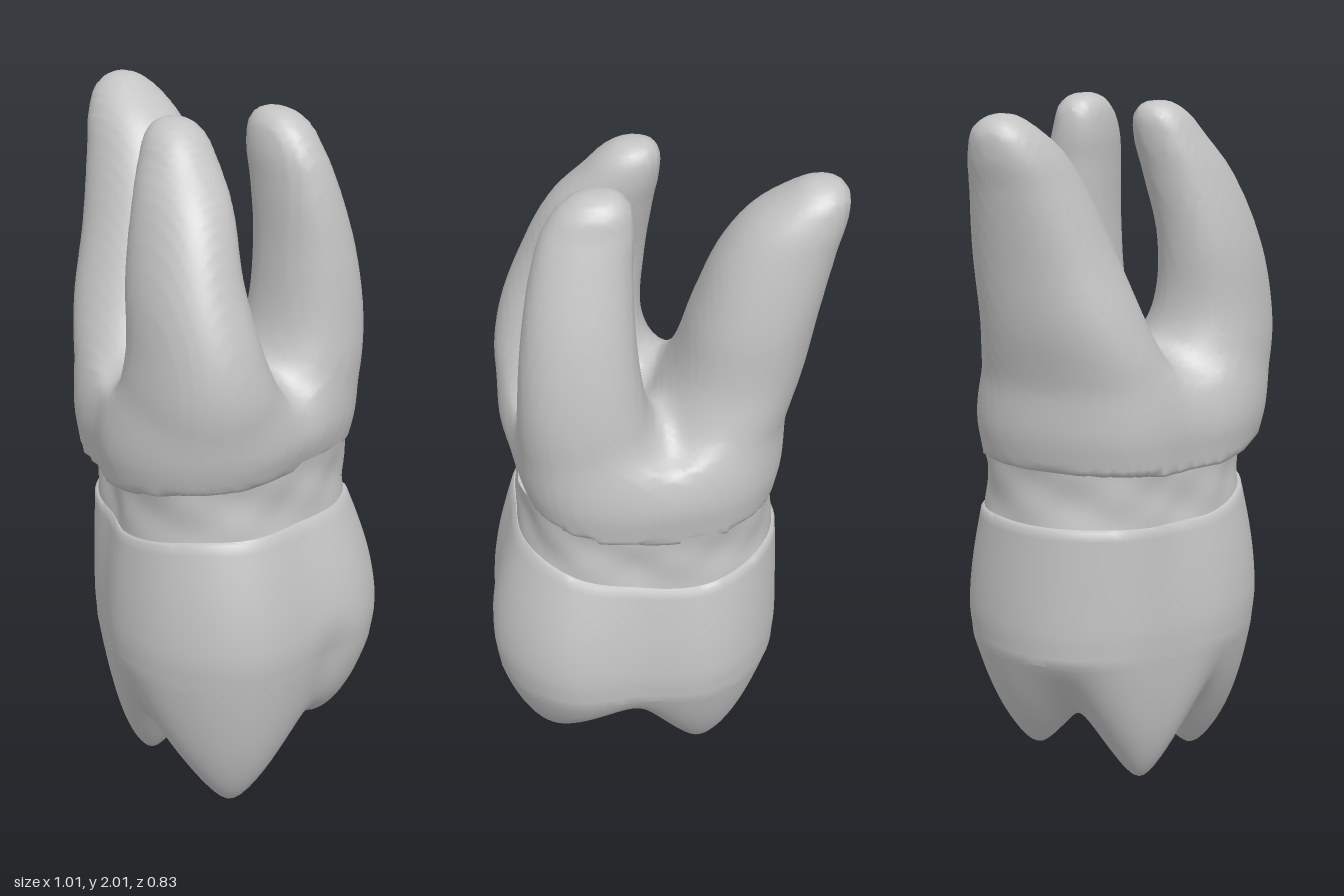
import * as THREE from 'three';
import { toCreasedNormals } from 'three/addons/utils/BufferGeometryUtils.js';

const CX = 0.07; // x of the tooth's vertical axis
const { smoothstep, lerp } = THREE.MathUtils;

// Smooth curve through rows of [t, value, value...]
function spline(rows) {
  const n = rows[0].length - 1;
  const curve = new THREE.CubicInterpolant(rows.map(r => r[0]), rows.flatMap(r => r.slice(1)), n, new Float32Array(n));
  return t => curve.evaluate(t);
}

// Closed outline given by radii every 30 degrees, from +x towards +z
function outline(radii) {
  const rows = [];
  for (let i = -2; i <= 14; i++) rows.push([i * Math.PI / 6, radii[(i + 12) % 12]]);
  const f = spline(rows);
  return a => f(a < 0 ? a + Math.PI * 2 : a)[0];
}
const crownOutline = outline([0.43, 0.465, 0.425, 0.37, 0.33, 0.375, 0.415, 0.43, 0.43, 0.39, 0.47, 0.475]);
const neckOutline = outline([0.36, 0.40, 0.38, 0.335, 0.31, 0.37, 0.41, 0.41, 0.39, 0.35, 0.39, 0.38]);
const rootOutline = outline([0.385, 0.43, 0.44, 0.405, 0.36, 0.405, 0.415, 0.42, 0.395, 0.38, 0.395, 0.37]);

// Wavy gum line: higher towards +x, slightly raised at -x
const gumWave = x => 0.06 * smoothstep(x, 0, 0.42) + 0.015 * smoothstep(-x, 0.1, 0.34);

// Skin over rings listed from top to bottom; point(ring, angle) gives [x, y, z]
function loft(rings, segs, point) {
  const pos = [], idx = [];
  rings.forEach((ring, r) => {
    for (let s = 0; s < segs; s++) {
      pos.push(...point(ring, s / segs * Math.PI * 2));
      if (r === rings.length - 1) continue;
      const a = r * segs + s, b = r * segs + (s + 1) % segs;
      idx.push(a, b, a + segs, b, b + segs, a + segs);
    }
  });
  const g = new THREE.BufferGeometry();
  g.setAttribute('position', new THREE.Float32BufferAttribute(pos, 3));
  g.setIndex(idx);
  return toCreasedNormals(g, 0.9);
}

// Chewing surface: four cusps [x, z, tip y, slope] joined by soft valleys
const CUSPS = [[0.31, 0.15, -0.015, 1.3], [-0.05, 0.145, 0.005, 1.6], [-0.11, -0.16, 0.085, 1.3], [0.31, -0.17, 0.17, 0.85]];
function chewingHeight(x, z) {
  let sum = Math.exp(-28 * 0.36);
  for (const [cx, cz, y, slope] of CUSPS) {
    const d = Math.hypot(x - cx, z - cz, 0.04) - 0.04;
    sum += Math.exp(-28 * (y + slope * d));
  }
  return -Math.log(sum) / 28;
}

function crownGeometry() {
  const rimY = 0.42, rings = [];
  rings.push({ cap: 0.002 }, { cap: 0.5 }, { cap: 0.98 });
  for (let i = 0; i <= 16; i++) rings.push({ down: i / 16 });
  for (let i = 1; i <= 40; i++) rings.push({ chew: Math.cos(i / 40 * Math.PI / 2) + 0.001 });
  return loft(rings, 96, (ring, a) => {
    // shallow groove on the +x side near the chewing edge
    const off = Math.atan2(Math.sin(a + 0.2), Math.cos(a + 0.2));
    const depth = ring.chew ? ring.chew ** 4 : smoothstep(ring.down ?? 0, 0.6, 1);
    const groove = 1 - 0.05 * depth * Math.exp(-((off / 0.16) ** 2));
    // sides swell from the neck, then turn in a little at the rim
    const bulge = ring.cap ? 0 : Math.sin((ring.down ?? 1) * Math.PI * 0.62);
    const rim = ring.cap || ring.chew ? 1 : 1 - 0.015 * smoothstep(ring.down, 0.75, 1);
    const r = lerp(neckOutline(a), crownOutline(a), bulge) * rim * (ring.cap ?? 1) * (ring.chew ? ring.chew * 0.985 : 1);
    const x = CX + r * groove * Math.cos(a), z = r * groove * Math.sin(a);
    const top = 0.818 + gumWave(x);
    if (ring.chew) return [x, lerp(chewingHeight(x, z), rimY, Math.min(ring.chew, 1) ** 11), z];
    return [x, ring.cap ? top : lerp(top - 0.008, rimY, ring.down), z];
  });
}

function neckGeometry() {
  const rings = [];
  for (let i = 0; i <= 8; i++) rings.push(i / 8);
  return loft(rings, 72, (t, a) => {
    const ripple = 0.005 * Math.sin(7 * a + 4 * t) + 0.003 * Math.sin(11 * a - 5 * t);
    const r = neckOutline(a) * (0.975 - 0.02 * Math.sin(Math.PI * t)) + ripple * Math.sin(Math.PI * t);
    const x = CX + r * Math.cos(a);
    return [x, 1.0 - 0.19 * t + gumWave(x), r * Math.sin(a)];
  });
}

// Roots as rows of [y, centre x, centre z, radius x, radius z]
const ROOTS = [
  [[1.0, -0.12, 0, 0.19, 0.27], [1.25, -0.165, -0.005, 0.2, 0.275], [1.4, -0.22, -0.015, 0.185, 0.24],
    [1.6, -0.265, -0.05, 0.174, 0.2], [1.8, -0.325, -0.072, 0.155, 0.152], [1.9, -0.375, -0.082, 0.128, 0.12],
    [1.97, -0.42, -0.09, 0.075, 0.075], [2.0, -0.425, -0.09, 0.035, 0.03]],
  [[1.0, 0.19, 0.17, 0.2, 0.19], [1.25, 0.235, 0.2, 0.235, 0.2], [1.4, 0.25, 0.232, 0.207, 0.162],
    [1.6, 0.21, 0.235, 0.178, 0.135], [1.8, 0.15, 0.19, 0.143, 0.118], [1.9, 0.1, 0.16, 0.108, 0.098],
    [1.97, 0.07, 0.145, 0.075, 0.07], [2.0, 0.06, 0.14, 0.04, 0.035]],
  [[1.0, 0.17, -0.16, 0.18, 0.17], [1.25, 0.205, -0.18, 0.195, 0.18], [1.4, 0.222, -0.207, 0.175, 0.15],
    [1.6, 0.225, -0.2, 0.155, 0.125], [1.8, 0.21, -0.168, 0.135, 0.1], [1.9, 0.19, -0.15, 0.12, 0.085],
    [1.97, 0.17, -0.145, 0.085, 0.065], [2.0, 0.16, -0.14, 0.045, 0.035]],
].map(spline);
const trunkScale = spline([[0.9, 0.9], [1.0, 0.93], [1.1, 0.97], [1.2, 0.91], [1.3, 0.74], [1.4, 0.5]]);

// Signed field: trunk and roots softly merged, cut off at the gum line
function rootField(x, y, z) {
  const merge = (a, b, k) => {
    const h = Math.max(k - Math.abs(a - b), 0) / k;
    return Math.min(a, b) - h * h * k / 4;
  };
  const angle = Math.atan2(z, x - CX);
  const pinch = 1 - 0.06 * Math.max(Math.cos(angle), 0) ** 2 * (1 - smoothstep(y, 1.02, 1.15));
  const trunk = Math.hypot(x - CX, z) - rootOutline(angle) * trunkScale(y)[0] * pinch;
  let d = Math.max(trunk, (y - 1.21) * 0.8);
  for (const root of ROOTS) {
    const [cx, cz, rx, rz] = root(y);
    const q = (Math.abs((x - cx) / rx) ** 2.2 + Math.abs((z - cz) / rz) ** 2.2) ** (1 / 2.2);
    const blend = 0.03 + 0.06 * (1 - smoothstep(y, 1.3, 1.6));
    d = merge(d, Math.max((q - 1) * Math.min(rx, rz), y - 1.998), blend);
  }
  return Math.max(d, 0.975 + gumWave(x) - y);
}

// Mesh the zero surface of a field on a regular grid
function surfaceOf(field, min, dims, h) {
  const step = [1, dims[0], dims[0] * dims[1]];
  const val = new Float32Array(dims[0] * dims[1] * dims[2]), cell = new Int32Array(val.length).fill(-1);
  const pos = [], idx = [];
  const each = (from, cut, fn) => {
    for (let k = from; k < dims[2] - cut; k++)
      for (let j = from; j < dims[1] - cut; j++)
        for (let i = from; i < dims[0] - cut; i++) fn([i, j, k], i + j * step[1] + k * step[2]);
  };
  each(0, 0, (c, n) => { val[n] = field(min[0] + c[0] * h, min[1] + c[1] * h, min[2] + c[2] * h); });
  // one vertex in each cell that the surface crosses
  each(0, 1, (c, n) => {
    const sum = [0, 0, 0];
    let count = 0;
    for (let a = 0; a < 8; a++) {
      const bits = [a & 1, a >> 1 & 1, a >> 2];
      const corner = n + bits[0] + bits[1] * step[1] + bits[2] * step[2];
      for (let d = 0; d < 3; d++) {
        if (bits[d]) continue;
        const va = val[corner], vb = val[corner + step[d]];
        if (va < 0 === vb < 0) continue;
        for (let e = 0; e < 3; e++) sum[e] += bits[e] + (e === d ? va / (va - vb) : 0);
        count++;
      }
    }
    if (!count) return;
    cell[n] = pos.length / 3;
    for (let e = 0; e < 3; e++) pos.push(min[e] + (c[e] + sum[e] / count) * h);
  });
  // one quad around each crossed grid edge
  each(1, 1, (c, n) => {
    for (let d = 0; d < 3; d++) {
      if (val[n] < 0 === val[n + step[d]] < 0) continue;
      const u = step[(d + 1) % 3], v = step[(d + 2) % 3];
      const q = [cell[n - u - v], cell[n - v], cell[n], cell[n - u]];
      if (val[n] >= 0) q.reverse();
      idx.push(q[0], q[1], q[2], q[0], q[2], q[3]);
    }
  });
  const g = new THREE.BufferGeometry();
  g.setAttribute('position', new THREE.Float32BufferAttribute(pos, 3));
  g.setIndex(idx);
  g.computeVertexNormals();
  return g;
}

export function createModel() {
  const grey = new THREE.MeshStandardMaterial({ color: 0xc4c4c4 });
  grey.name = 'tooth grey';
  const model = new THREE.Group();
  model.name = 'molar';
  const add = (name, geometry) => {
    const mesh = new THREE.Mesh(geometry, grey);
    mesh.name = name;
    model.add(mesh);
  };
  add('crown', crownGeometry());
  add('neck', neckGeometry());
  add('roots', surfaceOf(rootField, [-0.56, 0.92, -0.46], [57, 57, 47], 0.02));
  return model;
}
